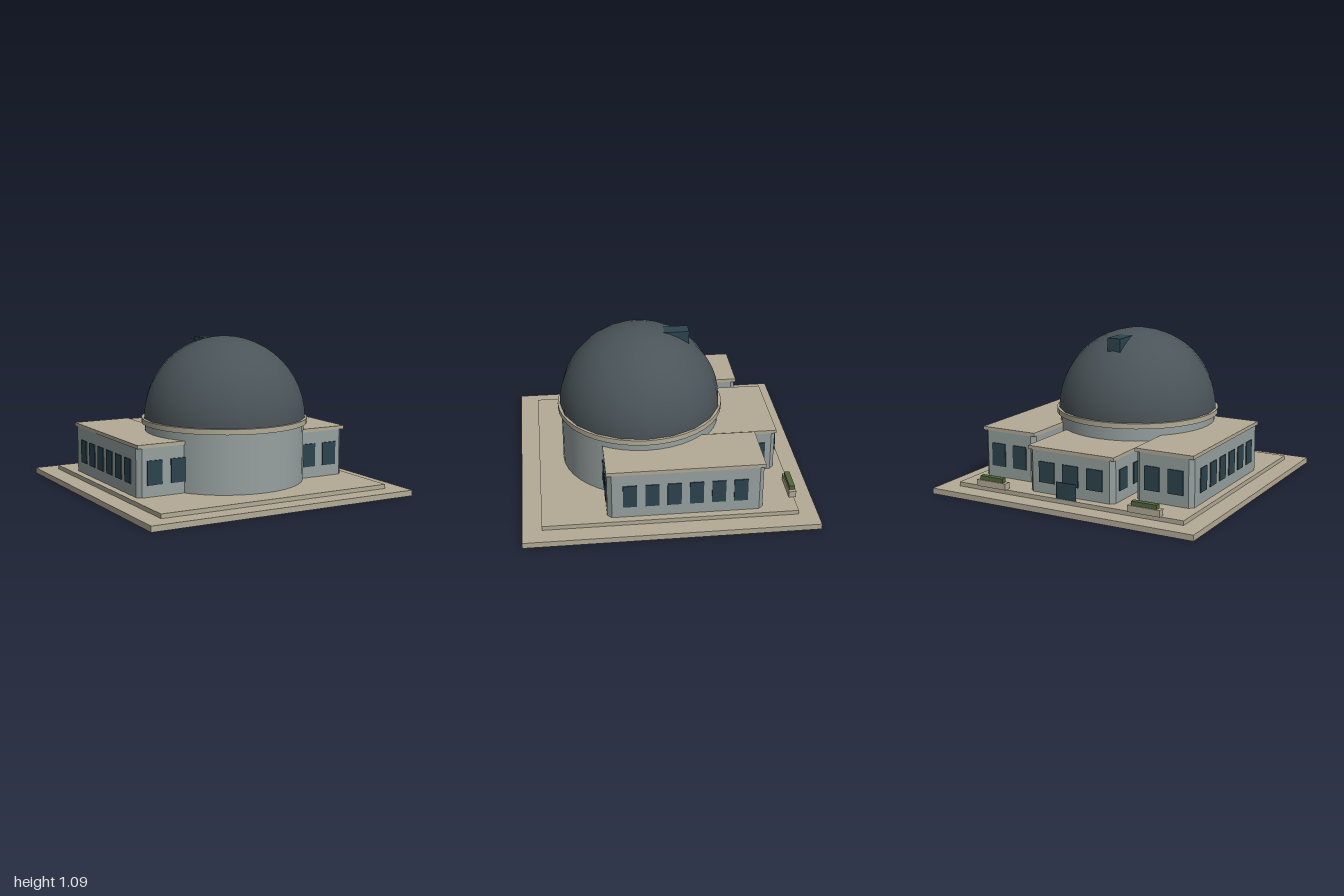
import * as THREE from 'three';

const mat = (color) => new THREE.MeshStandardMaterial({ color });

export function createModel() {
  const model = new THREE.Group();
  const stone = mat(0xb3ab96), wall = mat(0x96a19f), glass = mat(0x2c444e);
  const domeMat = mat(0x4a5459), hedge = mat(0x52653f);

  const add = (parent, name, geo, material, x, y, z) => {
    const m = new THREE.Mesh(geo, material);
    m.name = name;
    m.position.set(x, y, z);
    parent.add(m);
    return m;
  };
  // Box given by its extents
  const box = (parent, name, material, x0, x1, y0, y1, z0, z1) =>
    add(parent, name, new THREE.BoxGeometry(x1 - x0, y1 - y0, z1 - z0), material,
      (x0 + x1) / 2, (y0 + y1) / 2, (z0 + z1) / 2);

  // Wall block with chamfered vertical corners
  const block = (parent, x0, x1, y0, y1, z0, z1, c = 0.03) => {
    const a = (x1 - x0) / 2, b = (z1 - z0) / 2;
    const pts = [[-a + c, -b], [a - c, -b], [a, -b + c], [a, b - c],
      [a - c, b], [-a + c, b], [-a, b - c], [-a, -b + c]];
    const shape = new THREE.Shape(pts.map(([x, y]) => new THREE.Vector2(x, y)));
    const geo = new THREE.ExtrudeGeometry(shape, { depth: y1 - y0, bevelEnabled: false });
    geo.rotateX(-Math.PI / 2);
    add(parent, 'walls', geo, wall, (x0 + x1) / 2, y0, (z0 + z1) / 2);
  };

  // Stepped plinth
  box(model, 'base', stone, -1, 1, 0, 0.04, -1, 1);
  box(model, 'terrace', stone, -0.868, 0.868, 0.04, 0.07, -0.868, 0.868);

  // Rotunda: drum, cornice and dome
  const cz = 0.132;
  add(model, 'drum', new THREE.CylinderGeometry(0.56, 0.56, 0.42, 40), wall, 0, 0.28, cz);
  add(model, 'cornice', new THREE.CylinderGeometry(0.585, 0.585, 0.037, 40), stone, 0, 0.498, cz);
  add(model, 'dome', new THREE.SphereGeometry(0.57, 20, 12, 0, Math.PI * 2, 0, Math.PI / 2),
    domeMat, 0, 0.515, cz);
  box(model, 'domeHatch', glass, -0.05, 0.05, 0.94, 1.056, -0.215, -0.02);

  // Side wings with windows on every outer face
  for (const s of [-1, 1]) {
    const wing = new THREE.Group();
    wing.name = s > 0 ? 'leftWing' : 'rightWing';
    model.add(wing);
    const cx = s * 0.607;
    block(wing, cx - 0.209, cx + 0.209, 0.07, 0.4, -0.632, 0.427);
    box(wing, 'roof', stone, cx - 0.213, cx + 0.213, 0.4, 0.425, -0.637, 0.432);
    for (const side of [-1, 1]) {
      for (let i = 0; i < 6; i++) {
        const z = 0.275 - i * 0.15, x = cx + side * 0.209;
        box(wing, 'sideWindow', glass, x - 0.007, x + 0.007, 0.15, 0.315, z - 0.047, z + 0.047);
      }
      for (const z of [-0.632, 0.427]) {
        const x = cx + side * 0.087;
        box(wing, 'endWindow', glass, x - 0.055, x + 0.055, 0.15, 0.315, z - 0.008, z + 0.008);
      }
    }
  }

  // Lower entrance wing at the back
  const hall = new THREE.Group();
  hall.name = 'entranceWing';
  model.add(hall);
  block(hall, -0.328, 0.328, 0.07, 0.365, -0.802, -0.2);
  box(hall, 'roof', stone, -0.332, 0.332, 0.365, 0.389, -0.807, -0.195);
  for (let i = -1; i <= 1; i++) {
    const x = i * 0.185, z = -0.49 + i * 0.19;
    box(hall, 'backWindow', glass, x - 0.06, x + 0.06, 0.145, 0.29, -0.81, -0.795);
    for (const s of [-0.328, 0.328])
      box(hall, 'sideWindow', glass, s - 0.007, s + 0.007, 0.145, 0.29, z - 0.05, z + 0.05);
  }

  // Slim upright panel in front of the entrance
  const panel = add(model, 'entrancePanel', new THREE.CylinderGeometry(0.077, 0.077, 0.115, 24),
    glass, 0, 0.1275, -0.86);
  panel.scale.z = 0.07;

  // Planters with hedges
  for (const s of [-0.59, 0.59]) {
    box(model, 'planter', stone, s - 0.117, s + 0.117, 0.07, 0.115, -0.883, -0.833);
    box(model, 'hedge', hedge, s - 0.092, s + 0.092, 0.115, 0.145, -0.877, -0.839);
  }
  return model;
}
